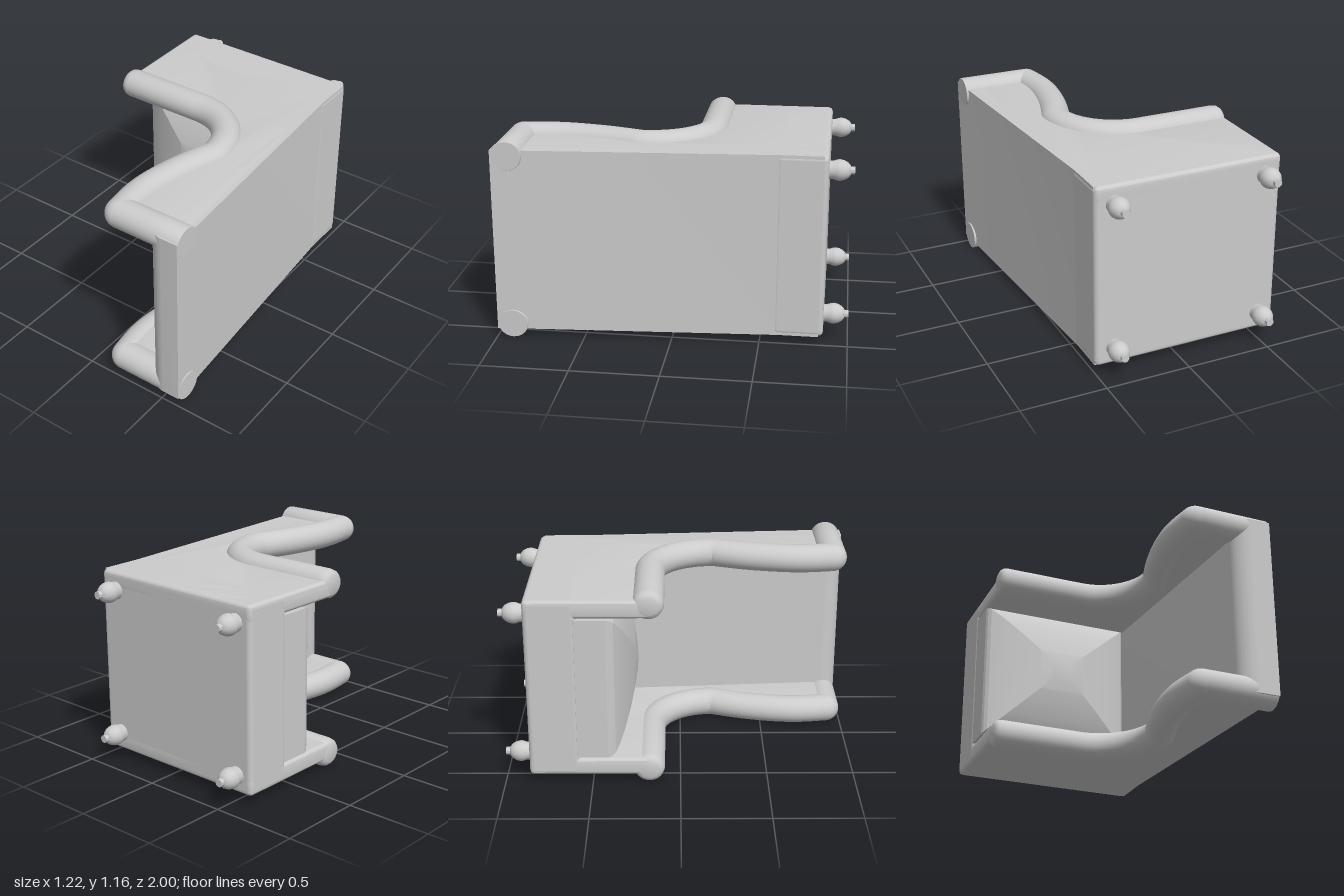
import * as THREE from 'three';
import { toCreasedNormals } from 'three/addons/utils/BufferGeometryUtils.js';
import { RoundedBoxGeometry } from 'three/addons/geometries/RoundedBoxGeometry.js';

const material = new THREE.MeshStandardMaterial({ color: 0xcccccc });
const V = (x, y) => new THREE.Vector2(x, y);
const HEIGHT = 1.165;
const ROLL_Y = 0.083, ROLL_RY = 0.083, ROLL_RZ = 0.0875;

function addMesh(parent, name, geometry, x = 0, y = 0, z = 0) {
  const mesh = new THREE.Mesh(geometry, material);
  mesh.name = name;
  mesh.position.set(x, y, z);
  parent.add(mesh);
  return mesh;
}

// Sweeps an oval along a flat x-z path; scales gives each ring's size
function sweep(path, scales, sides = 32) {
  const pos = [], idx = [];
  path.forEach((p, i) => {
    const a = path[Math.max(i - 1, 0)], b = path[Math.min(i + 1, path.length - 1)];
    const t = b.clone().sub(a).normalize();
    for (let j = 0; j < sides; j++) {
      const ang = (j / sides) * Math.PI * 2;
      const w = Math.cos(ang) * ROLL_RZ * scales[i], h = Math.sin(ang) * ROLL_RY * scales[i];
      pos.push(p.x - t.y * w, h, p.y + t.x * w);
      if (i < path.length - 1) {
        const k = (j + 1) % sides, r = i * sides, s = r + sides;
        idx.push(r + j, s + j, r + k, r + k, s + j, s + k);
      }
    }
  });
  const g = new THREE.BufferGeometry();
  g.setAttribute('position', new THREE.Float32BufferAttribute(pos, 3));
  g.setIndex(idx);
  return toCreasedNormals(g, 0.6);
}

// Extrudes an x-z outline along y, ending at y = top
function slab(shape, depth, top, bevel = 0) {
  const g = new THREE.ExtrudeGeometry(shape, {
    depth: depth - 2 * bevel, bevelEnabled: bevel > 0, bevelThickness: bevel,
    bevelSize: bevel, bevelOffset: -bevel, bevelSegments: 4, curveSegments: 16,
  });
  g.rotateX(Math.PI / 2).translate(0, top - bevel, 0);
  return toCreasedNormals(g, 0.25);
}

export function createModel() {
  const model = new THREE.Group();
  model.name = 'armchair';

  // Base box below the cushion
  addMesh(model, 'base', new RoundedBoxGeometry(1.115, 1.065, 0.29, 4, 0.03), -0.055, HEIGHT / 2, -0.715);

  // Centre line of the arm roll: straight arm, round bend, then the wing
  const bend = [];
  for (let i = 0; i <= 16; i++) {
    const a = (i / 16) * Math.PI / 2;
    bend.push(V(-0.08 + 0.357 * Math.sin(a), 0.2 - 0.377 * Math.cos(a)));
  }
  const wing = new THREE.SplineCurve([
    V(0.277, 0.2), V(0.212, 0.4), V(0.172, 0.6), V(0.165, 0.75), V(0.185, 0.907),
  ]).getPoints(20).slice(1);
  const armLine = [...bend, ...wing];
  const capX = [-0.613, -0.613, -0.606, -0.591, -0.565];
  const capScale = [0, 0.6, 0.8, 0.94, 1];
  const armPath = [...capX.map((x) => V(x, -0.177)), ...armLine];
  const armScales = armPath.map((p, i) => capScale[i] ?? 1);
  const armRoll = sweep(armPath, armScales);
  const topRoll = sweep([V(0.185, 0.907), V(0.4, 0.907), V(0.606, 0.907), V(0.61, 0.907), V(0.61, 0.907)], [1, 1, 1, 0.98, 0]);
  const corner = new THREE.SphereGeometry(1, 32, 20).scale(ROLL_RZ, ROLL_RY, ROLL_RZ);

  // Side panel outline, following the roll and the sloping back
  const panel = new THREE.Shape();
  panel.moveTo(-0.58, -0.86);
  panel.lineTo(0.47, -0.86);
  panel.quadraticCurveTo(0.5, -0.86, 0.5, -0.83);
  panel.lineTo(0.5, -0.6);
  panel.lineTo(0.603, 0.91);
  [...armLine].reverse().forEach((p) => panel.lineTo(p.x, p.y));
  panel.lineTo(-0.612, -0.177);
  panel.lineTo(-0.612, -0.83);
  panel.quadraticCurveTo(-0.612, -0.86, -0.58, -0.86);

  for (const [side, rollY, panelTop] of [['right', ROLL_Y, 0.155], ['left', HEIGHT - ROLL_Y, 1.115]]) {
    const arm = new THREE.Group();
    arm.name = side + 'Arm';
    addMesh(arm, 'sidePanel', slab(panel, 0.105, panelTop, 0.025));
    addMesh(arm, 'armRoll', armRoll, 0, rollY, 0);
    addMesh(arm, 'wingTopRoll', topRoll, 0, rollY, 0);
    addMesh(arm, 'wingCorner', corner, 0.185, rollY, 0.907);
    model.add(arm);
  }

  // Sloping backrest with a rounded inner top edge
  const back = new THREE.Shape();
  back.moveTo(0.3, -0.835);
  back.lineTo(0.5, -0.835);
  back.lineTo(0.5, -0.6);
  back.lineTo(0.61, 0.997);
  back.lineTo(0.51, 0.997);
  back.absarc(0.51, 0.892, 0.105, Math.PI / 2, Math.PI, false);
  back.lineTo(0.3, -0.6);
  addMesh(model, 'backrest', slab(back, 1.065, 1.115));

  // Seat cushion: a four-sided domed pillow
  const pillow = [
    [0, -0.6], [0.97, -0.6], [1, -0.585], [1, -0.41], [0.985, -0.388], [0.95, -0.368],
    [0.85, -0.342], [0.7, -0.314], [0.5, -0.285], [0.3, -0.263], [0.12, -0.249], [0, -0.246],
  ].map(([s, z]) => V(s * Math.SQRT2, z));
  const cushion = new THREE.LatheGeometry(pillow, 4);
  cushion.rotateY(Math.PI / 4).rotateX(Math.PI / 2).scale(0.455, 0.42, 1);
  addMesh(model, 'cushion', toCreasedNormals(cushion, 0.25), -0.155, HEIGHT / 2, 0);

  // Turned feet
  const footProfile = [
    [0.05, 0], [0.051, 0.025], [0.058, 0.045], [0.06, 0.062], [0.055, 0.085],
    [0.043, 0.107], [0.028, 0.12], [0.022, 0.122], [0.022, 0.145], [0, 0.145],
  ].map(([r, h]) => V(r, h));
  const foot = toCreasedNormals(new THREE.LatheGeometry(footProfile, 24).rotateX(-Math.PI / 2), 0.7);
  for (const x of [-0.51, 0.39]) {
    for (const y of [0.155, HEIGHT - 0.155]) addMesh(model, 'foot', foot, x, y, -0.855);
  }

  return model;
}
